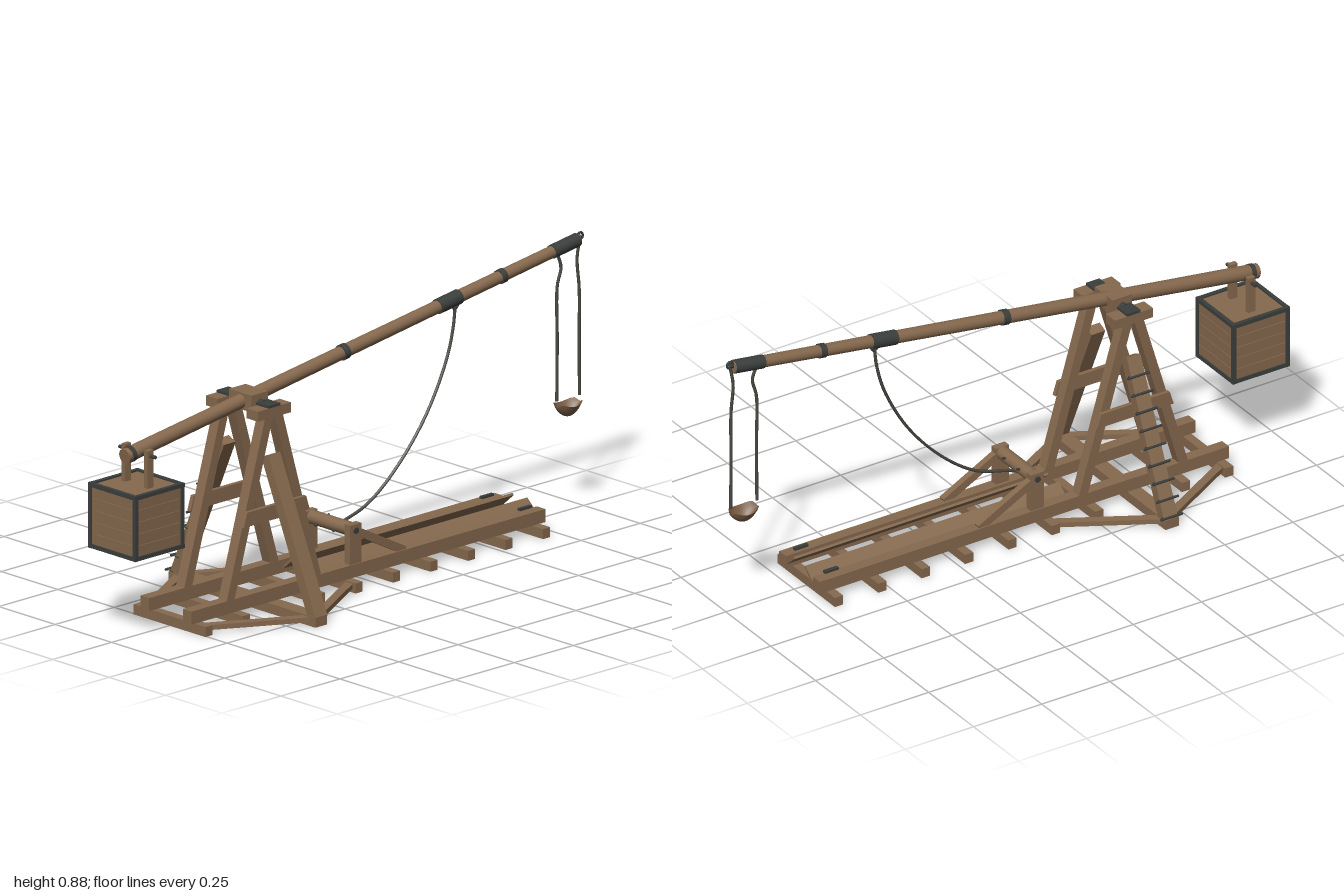
import * as THREE from 'three';

const mat = (name, color) => {
  const m = new THREE.MeshStandardMaterial({ color });
  m.name = name;
  return m;
};

export function createModel() {
  const root = new THREE.Group();
  root.name = 'trebuchet';
  const wood = mat('wood', 0x86694e);
  const iron = mat('darkIron', 0x3b3f3c);
  const rope = mat('rope', 0x4b4a44);
  const leather = mat('leather', 0x7d6047);
  leather.side = THREE.DoubleSide;
  const V = (x, y, z) => new THREE.Vector3(x, y, z);

  const add = (name, geo, m, x = 0, y = 0, z = 0) => {
    const mesh = new THREE.Mesh(geo, m);
    mesh.name = name;
    mesh.position.set(x, y, z);
    root.add(mesh);
    return mesh;
  };
  const box = (name, m, w, h, d, x, y, z) => add(name, new THREE.BoxGeometry(w, h, d), m, x, y, z);
  // Square timber from a to b: w is its level width, h its other width
  const beam = (name, m, a, b, w, h) => {
    const mesh = add(name, new THREE.BoxGeometry(w, h, a.distanceTo(b)), m);
    mesh.position.copy(a).add(b).multiplyScalar(0.5);
    mesh.lookAt(b);
    return mesh;
  };
  // Round rod from a to b
  const rod = (name, m, a, b, r0, r1 = r0, sides = 12) => {
    const mesh = add(name, new THREE.CylinderGeometry(r1, r0, a.distanceTo(b), sides), m);
    mesh.position.copy(a).add(b).multiplyScalar(0.5);
    mesh.quaternion.setFromUnitVectors(V(0, 1, 0), b.clone().sub(a).normalize());
    return mesh;
  };
  const cord = (name, pts, r) => add(name,
    new THREE.TubeGeometry(new THREE.CatmullRomCurve3(pts), 32, r, 6), rope);

  // Base: sleepers with one long one under the tower
  for (let i = 0; i < 10; i++) {
    const long = i === 2;
    box('sleeper', wood, long ? 0.05 : 0.03, 0.032, long ? 0.65 : 0.32, -0.74 + i * 0.1589, 0.016, 0);
  }

  for (const s of [1, -1]) {
    box('baseRail', wood, 1.5, 0.042, 0.038, -0.02, 0.053, s * 0.094);
    // Flat outrigger braces
    for (const x of [-0.74, -0.1]) {
      beam('outriggerBrace', wood, V(x, 0.02, s * 0.12), V(-0.42, 0.02, s * 0.3), 0.028, 0.016);
    }
    // Tower frame
    for (const d of [1, -1]) {
      beam('towerLeg', wood, V(-0.42 + d * 0.187, 0.06, s * 0.094), V(-0.42 + d * 0.018, 0.635, s * 0.094), 0.037, 0.032);
    }
    const tie = new THREE.Shape([[-0.14, -0.023], [0.14, -0.023], [0.125, 0.023], [-0.125, 0.023]]
      .map(([x, y]) => new THREE.Vector2(x, y)));
    add('towerTie', new THREE.ExtrudeGeometry(tie, { depth: 0.014, bevelEnabled: false }), wood,
      -0.42, 0.322, s * 0.118 - 0.007);
    beam('sideStrut', wood, V(-0.42, 0.02, s * 0.309), V(-0.42, 0.5, s * 0.098), 0.05, 0.034);
    box('towerCap', wood, 0.14, 0.032, 0.05, -0.42, 0.639, s * 0.09);
    box('capPlate', iron, 0.05, 0.008, 0.056, -0.42, 0.659, s * 0.087);

    // Missile trough, one sloping plank on each side
    beam('troughPlank', wood, V(-0.2, 0.065, s * 0.058), V(0.73, 0.065, s * 0.058), 0.075, 0.008)
      .rotateZ(s * 0.72);
    box('troughClip', iron, 0.05, 0.008, 0.012, 0.67, 0.084, s * 0.084);

    // Winch supports
    box('winchPost', wood, 0.048, 0.13, 0.024, -0.07, 0.135, s * 0.097);
    beam('winchBrace', wood, V(-0.055, 0.172, s * 0.097), V(0.14, 0.07, s * 0.097), 0.022, 0.026);
    rod('winchPin', iron, V(-0.07, 0.18, s * 0.085), V(-0.07, 0.18, s * 0.114), 0.01);
    for (const d of [1, -1]) {
      rod('winchHandle', iron, V(-0.07, 0.18, s * 0.04), V(-0.07 + d * 0.03, 0.18 + d * 0.012, s * 0.04), 0.004, 0.004, 6);
    }

    // Counterweight hangers
    box('hanger', wood, 0.026, 0.125, 0.016, -0.89, 0.543, s * 0.05);
  }

  // Climbing pegs on the rear strut
  for (let i = 0; i < 9; i++) {
    const y = 0.04 + i * 0.0513, z = -0.326 + i * 0.0232;
    rod('ladderRung', iron, V(-0.46, y, z), V(-0.38, y, z), 0.004, 0.004, 6);
    for (const x of [-0.45, -0.39]) {
      rod('rungStay', iron, V(x, y, z), V(-0.42 + Math.sign(x + 0.42) * 0.02, y - 0.008, z + 0.025), 0.003, 0.003, 6);
    }
  }

  // Winch drum
  rod('winchDrum', wood, V(-0.07, 0.18, -0.085), V(-0.07, 0.18, 0.085), 0.022, 0.022, 16);

  // Throwing arm with its iron bands
  const armAt = (x) => V(x, 0.585 + (x + 0.945) * 0.1435, 0);
  rod('throwingArm', wood, armAt(-0.945), armAt(0.975), 0.024, 0.019, 16);
  for (const [x0, x1, r] of [[-0.93, -0.915, 0.026], [-0.03, -0.008, 0.025], [0.38, 0.47, 0.024],
    [0.64, 0.66, 0.023], [0.865, 0.972, 0.022]]) {
    rod('armBand', iron, armAt(x0), armAt(x1), r, r, 16);
  }
  rod('tipPin', iron, armAt(0.965), V(0.985, 0.87, 0), 0.008);
  add('tipRing', new THREE.TorusGeometry(0.011, 0.004, 6, 14), iron, 0.985, 0.87, 0);

  // Pivot block and axle
  box('pivotBlock', wood, 0.07, 0.054, 0.1, -0.42, 0.657, 0);
  rod('pivotAxle', iron, V(-0.42, 0.655, -0.068), V(-0.42, 0.655, 0.068), 0.012);
  rod('hangerPin', iron, V(-0.89, 0.588, -0.08), V(-0.89, 0.588, 0.08), 0.006, 0.006, 8);

  // Counterweight crate: core, planks and iron edging
  const cx = -0.895, cy = 0.386, half = 0.1;
  box('crateCore', wood, 0.194, 0.198, 0.194, cx, cy, 0);
  for (let i = 0; i < 5; i++) {
    box('cratePlank', wood, 0.2, 0.036, 0.2, cx, cy - 0.076 + i * 0.038, 0);
  }
  for (const a of [1, -1]) {
    for (const b of [1, -1]) {
      const e = 0.013, L = 0.21;
      box('crateEdge', iron, e, L, e, cx + a * (half - 0.002), cy, b * (half - 0.002));
      box('crateEdge', iron, L, e, e, cx, cy + a * (half - 0.002), b * (half - 0.002));
      box('crateEdge', iron, e, e, L, cx + a * (half - 0.002), cy + b * (half - 0.002), 0);
    }
  }

  // Hauling rope from arm to winch
  cord('haulingRope', [V(0.455, 0.765, 0), V(0.45, 0.71, 0), V(0.42, 0.6, 0), V(0.33, 0.435, 0),
    V(0.2, 0.29, 0), V(0.08, 0.205, 0), V(-0.04, 0.168, 0), V(-0.065, 0.157, 0)], 0.005);
  add('ropeEye', new THREE.TorusGeometry(0.012, 0.004, 6, 14), iron, 0.455, 0.765, 0);

  // Sling ropes and pouch
  cord('slingRope', [V(0.885, 0.84, 0), V(0.9, 0.79, 0.004), V(0.888, 0.73, 0), V(0.888, 0.55, 0), V(0.886, 0.36, 0)], 0.005);
  cord('slingRope', [V(0.985, 0.865, 0), V(0.976, 0.8, -0.004), V(0.981, 0.7, 0), V(0.981, 0.55, 0), V(0.982, 0.36, 0)], 0.005);
  const pouch = new THREE.PlaneGeometry(2, 2, 14, 10);
  const p = pouch.attributes.position;
  for (let i = 0; i < p.count; i++) {
    const u = p.getX(i), v = p.getY(i), w = Math.sqrt(Math.max(0, 1 - u * u));
    p.setXYZ(i, u * 0.052, 0.037 * u * u + 0.038 * v * v * w, -v * 0.035 * w);
  }
  pouch.computeVertexNormals();
  add('slingPouch', pouch, leather, 0.934, 0.302, 0);

  return root;
}
